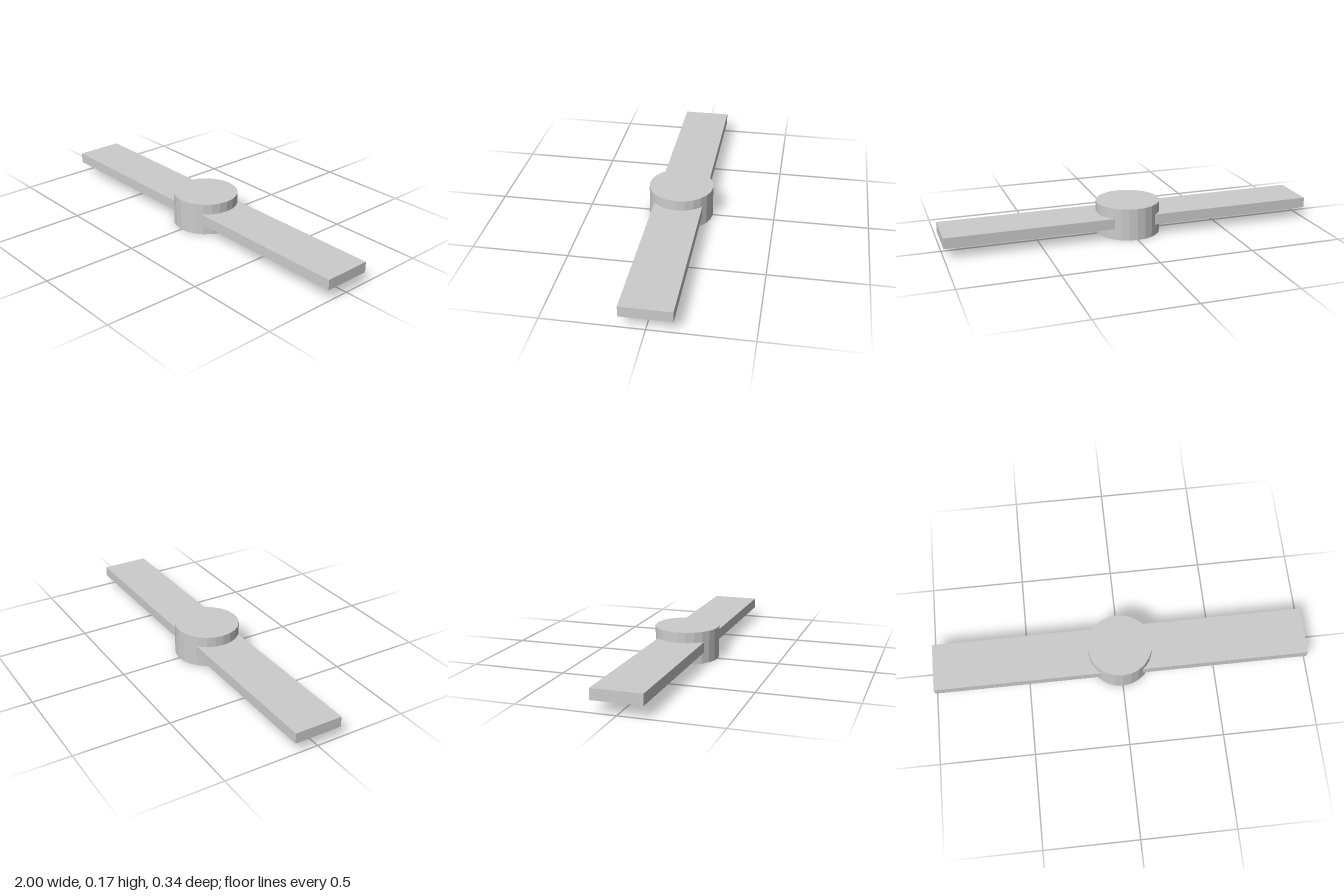
import * as THREE from 'three';

export function createModel() {
  const model = new THREE.Group();
  model.name = 'twoBladeRotor';

  const grey = new THREE.MeshStandardMaterial({ color: 0xcccccc });
  grey.name = 'light grey';

  // Faceted round hub: flat normals come from un-indexed faces
  const hubRadius = 0.171, hubHeight = 0.171;
  const hubGeometry = new THREE.CylinderGeometry(hubRadius, hubRadius, hubHeight, 24).toNonIndexed();
  hubGeometry.computeVertexNormals();
  const hub = new THREE.Mesh(hubGeometry, grey);
  hub.name = 'hub';
  hub.position.y = hubHeight / 2;
  model.add(hub);

  // Two flat blades, each rooted inside the hub
  const root = 0.06, tip = 1, bottom = 0.059, top = 0.115, width = 0.256;
  for (const [name, side] of [['leftBlade', 1], ['rightBlade', -1]]) {
    const blade = new THREE.Mesh(new THREE.BoxGeometry(tip - root, top - bottom, width), grey);
    blade.name = name;
    blade.position.set(side * (tip + root) / 2, (top + bottom) / 2, 0);
    model.add(blade);
  }

  return model;
}
